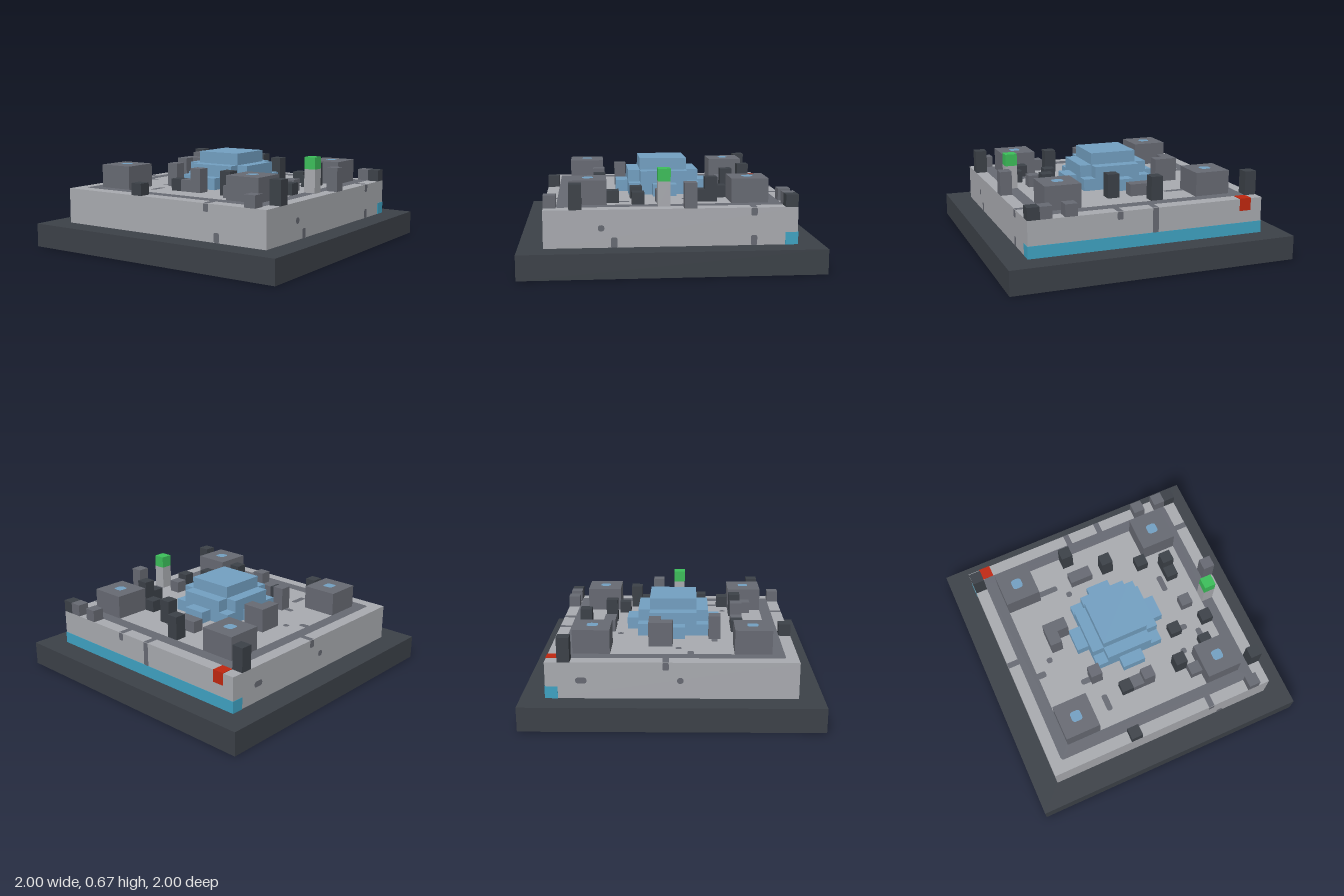
import * as THREE from 'three';

const material = (name, color) => new THREE.MeshStandardMaterial({ name, color });

export function createModel() {
  const root = new THREE.Group();
  root.name = 'blockPlaza';
  // Everything is laid out in block units, 24 across the base
  const model = new THREE.Group();
  model.name = 'blocks';
  model.scale.setScalar(1 / 12);
  root.add(model);

  const dark = material('charcoal', 0x3c4148);
  const grey = material('midGrey', 0x676a73);
  const light = material('lightStone', 0xa9abb0);
  const blue = material('slateBlue', 0x73a0c2);
  const green = material('green', 0x3cbf5a);
  const red = material('red', 0xc1270f);
  const teal = material('teal', 0x3fa3c3);

  const add = (name, geometry, mat) => {
    const mesh = new THREE.Mesh(geometry, mat);
    mesh.name = name;
    model.add(mesh);
    return mesh;
  };
  // Box from its minimum and maximum corners
  const box = (name, mat, x0, y0, z0, x1, y1, z1) => {
    const mesh = add(name, new THREE.BoxGeometry(x1 - x0, y1 - y0, z1 - z0), mat);
    mesh.position.set((x0 + x1) / 2, (y0 + y1) / 2, (z0 + z1) / 2);
    return mesh;
  };
  const trace = (path, x0, y0, x1, y1, r) => {
    path.moveTo(x0 + r, y0);
    path.lineTo(x1 - r, y0);
    path.quadraticCurveTo(x1, y0, x1, y0 + r);
    path.lineTo(x1, y1 - r);
    path.quadraticCurveTo(x1, y1, x1 - r, y1);
    path.lineTo(x0 + r, y1);
    path.quadraticCurveTo(x0, y1, x0, y1 - r);
    path.lineTo(x0, y0 + r);
    path.quadraticCurveTo(x0, y0, x0 + r, y0);
    return path;
  };
  const rounded = (x0, y0, x1, y1, r) => trace(new THREE.Shape(), x0, y0, x1, y1, r);
  // Thin face lying on a horizontal surface
  const topPatch = (name, mat, shape, y) => {
    const mesh = add(name, new THREE.ShapeGeometry(shape, 5), mat);
    mesh.geometry.scale(1, -1, 1);
    mesh.geometry.index.array.reverse();
    mesh.geometry.rotateX(-Math.PI / 2);
    mesh.geometry.computeVertexNormals();
    mesh.position.y = y + 0.03;
  };
  // Thin face on a wall; u runs to the right as seen from outside
  const wallPatch = (angle, u0, y0, u1, y1, r = 0.25) => {
    const mesh = add('wallMark', new THREE.ShapeGeometry(rounded(u0, y0, u1, y1, r), 5), grey);
    mesh.geometry.translate(0, 0, 10.03);
    mesh.rotation.y = angle;
  };

  // Base and raised platform
  box('base', dark, -12, 0, -12, 12, 2, 12);
  box('platform', light, -10, 2, -10, 10, 5, 10);
  box('backStrip', teal, -10.03, 2, -10.03, 10.03, 3, -9);
  box('redBlock', red, -9, 4, -10.03, -8, 5.04, -9);

  // Inlaid path around the platform
  const ring = rounded(-9, -9, 9, 9, 0.3);
  ring.holes.push(trace(new THREE.Path(), -8, -8, 8, 8, 0.2));
  topPatch('path', grey, ring, 5);

  // Gaps in the border and marks on the floor: x0, z0, x1, z1
  [
    [-0.75, -10, -0.25, -8.9], [2.25, -10, 2.75, -8.9], [-10, -0.75, -8.9, -0.25],
    [8.9, -6.75, 10, -6.25], [4.25, 8.9, 4.75, 10],
    [-8.1, 1.2, -7.25, 1.75], [-5.1, -5.75, -3.25, -5.25], [-2.75, -4.75, -2.25, -4.25],
    [5.25, -2.8, 5.75, -1.25], [-6.75, 0.25, -6.25, 0.75], [-4.8, 3.25, -3, 3.75],
    [-3.75, 5.25, -3.25, 6.75], [4.25, 4.25, 4.75, 4.75], [6.25, 3.1, 6.75, 4.1],
    [4.9, 2.25, 5.75, 2.75],
  ].forEach(([x0, z0, x1, z1]) =>
    topPatch('floorMark', grey, rounded(x0, z0, x1, z1, z0 <= -10 || x0 <= -10 || x1 >= 10 || z1 >= 10 ? 0.02 : 0.22), 5));

  // Marks on the four walls
  wallPatch(0, 4.25, 4.35, 4.75, 5, 0.15);
  wallPatch(0, 5.25, 2, 5.75, 2.8, 0.15);
  const right = Math.PI / 2;
  wallPatch(right, -5.75, 3.3, -5.25, 3.8);
  wallPatch(right, -4.75, 2, -4.25, 2.8, 0.15);
  wallPatch(right, 6.25, 4.35, 6.75, 5, 0.15);
  wallPatch(right, 6.25, 2, 6.75, 2.8, 0.15);
  wallPatch(Math.PI, 0.25, 3, 0.75, 5, 0.05);
  wallPatch(Math.PI, -2.75, 4.35, -2.25, 5, 0.15);
  wallPatch(-right, -7.6, 3.25, -6.7, 3.75);
  wallPatch(-right, -0.75, 4.35, -0.25, 5, 0.15);
  wallPatch(-right, 0.4, 3.25, 0.9, 3.75);

  // Corner pillars with blue caps
  for (const x of [-6.5, 6.5]) {
    for (const z of [-6.5, 6.5]) {
      box('cornerPillar', grey, x - 1.5, 5, z - 1.5, x + 1.5, 7, z + 1.5);
      topPatch('pillarCap', blue, rounded(x - 0.45, z - 0.45, x + 0.45, z + 0.45, 0.3), 7);
    }
  }

  // Stepped centre piece
  box('centreStep', blue, -3, 5, -3, 3, 6, 3);
  box('centreMiddle', blue, -3, 6, -2, 3, 7, 2);
  box('centreTop', blue, -2, 7, -2, 2, 8, 2);
  for (const s of [-1, 1]) {
    box('centreMiddleSide', blue, -2, 6, s > 0 ? 2 : -3, 2, 7, s > 0 ? 3 : -2);
    box('centreArmZ', blue, -1, 5, s > 0 ? 3 : -4, 1, 6, s > 0 ? 4 : -3);
    box('centreArmX', blue, s > 0 ? 3 : -4, 5, -1, s > 0 ? 4 : -3, 6, 1);
  }

  // Scattered blocks: x, z, height
  const scatter = (name, mat, list) => list.forEach(([x, z, h]) =>
    box(name, mat, x, 5, z, x + 1, 5 + h, z + 1));
  scatter('darkBlock', dark, [
    [-10, -9, 2], [9, -10, 1], [-2, -8, 2], [1, -6, 2], [4, -5, 1], [6, -4, 2], [6, -3, 1],
    [4, 2, 1], [7, 2, 1], [6, 4, 1], [3, 5, 2], [9, 7, 2], [-3, 9, 1], [-2, 5, 1],
  ]);
  scatter('greyBlock', grey, [
    [6, -10, 1], [8, -10, 1], [-2, -6, 1], [-1, -6, 1], [9, -2, 2], [6, 0, 1], [4, 6, 1],
    [8, 9, 1], [-1, 5, 1], [0, 5, 2], [-4, 3, 2], [-6, -2, 2], [-5, -2, 2], [-6, -1, 2],
  ]);

  // Post with a green block on top
  box('lightPost', light, 8, 5, 0, 9, 7, 1);
  box('greenBlock', green, 8, 7, 0, 9, 8, 1);

  return root;
}
